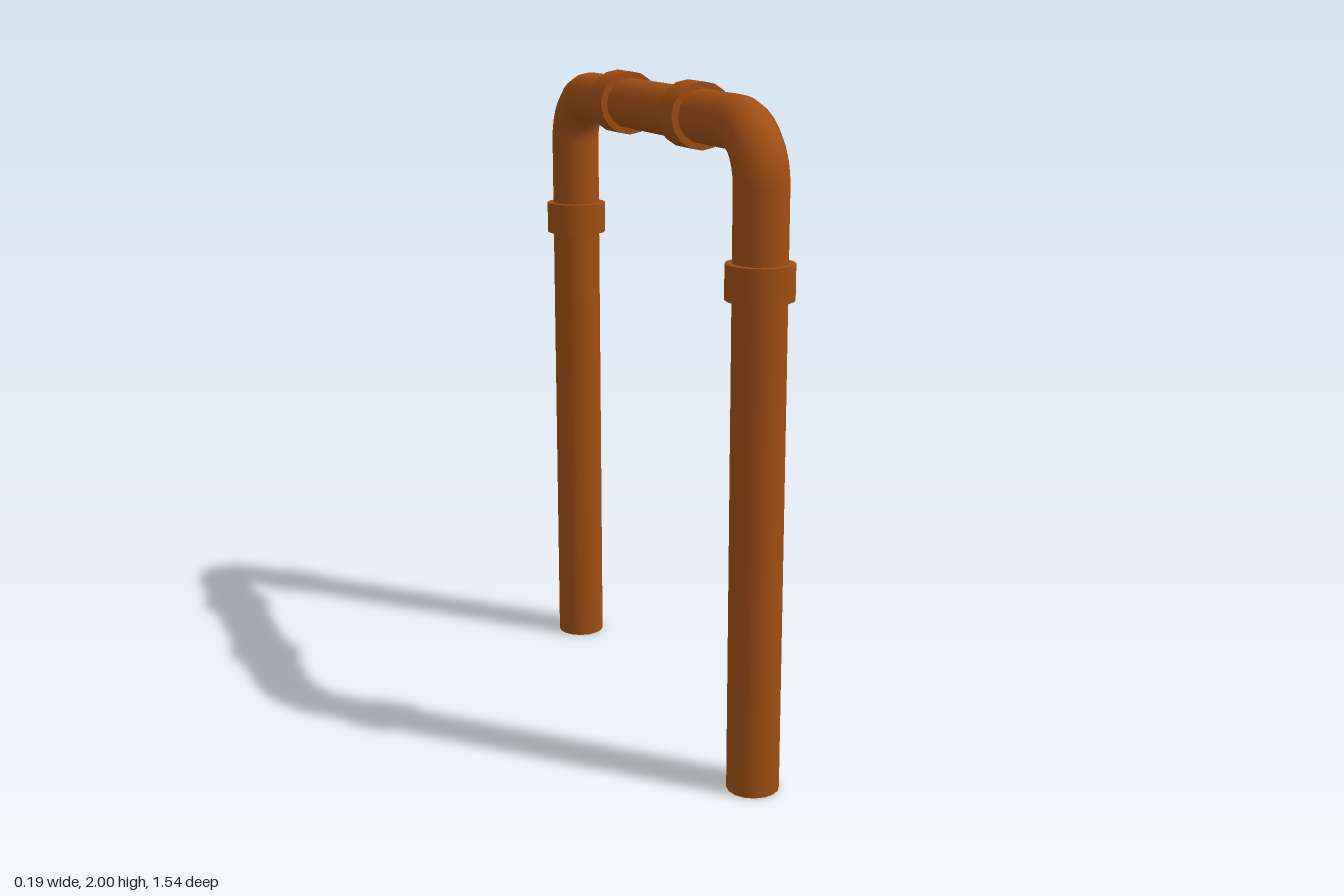
import * as THREE from 'three';

const SIDES = 16;
const PIPE_R = 0.077, COLLAR_R = 0.097, COLLAR_LEN = 0.1;
const LEG_Z = 0.675, TOP_Y = 1.903, BEND_R = 0.155;

export function createModel() {
  const model = new THREE.Group();
  model.name = 'pipeArch';
  const material = new THREE.MeshStandardMaterial({ color: 0xa04f14 });

  const add = (parent, name, geometry, y, z) => {
    const mesh = new THREE.Mesh(geometry, material);
    mesh.name = name;
    mesh.position.set(0, y, z);
    parent.add(mesh);
    return mesh;
  };
  const rod = (radius, length, open) =>
    new THREE.CylinderGeometry(radius, radius, length, SIDES, 1, open);

  const bendY = TOP_Y - BEND_R, bendZ = LEG_Z - BEND_R;

  // Each half: leg, quarter bend and two collars; the back is the front turned round
  for (const [side, turn] of [['front', 0], ['back', Math.PI]]) {
    const half = new THREE.Group();
    half.name = side + 'Half';
    half.rotation.y = turn;

    add(half, side + 'Leg', rod(PIPE_R, bendY, false), bendY / 2, LEG_Z);

    const bend = new THREE.TorusGeometry(BEND_R, PIPE_R, SIDES, 8, Math.PI / 2);
    add(half, side + 'Bend', bend.rotateY(-Math.PI / 2), bendY, bendZ);

    add(half, side + 'LegCollar', rod(COLLAR_R, COLLAR_LEN, false), 1.49, LEG_Z);
    add(half, side + 'TopCollar', rod(COLLAR_R, COLLAR_LEN, false).rotateX(Math.PI / 2), TOP_Y, 0.26);
    model.add(half);
  }

  // Horizontal pipe joining the two bends
  add(model, 'topPipe', rod(PIPE_R, bendZ * 2, true).rotateX(Math.PI / 2), TOP_Y, 0);

  return model;
}
